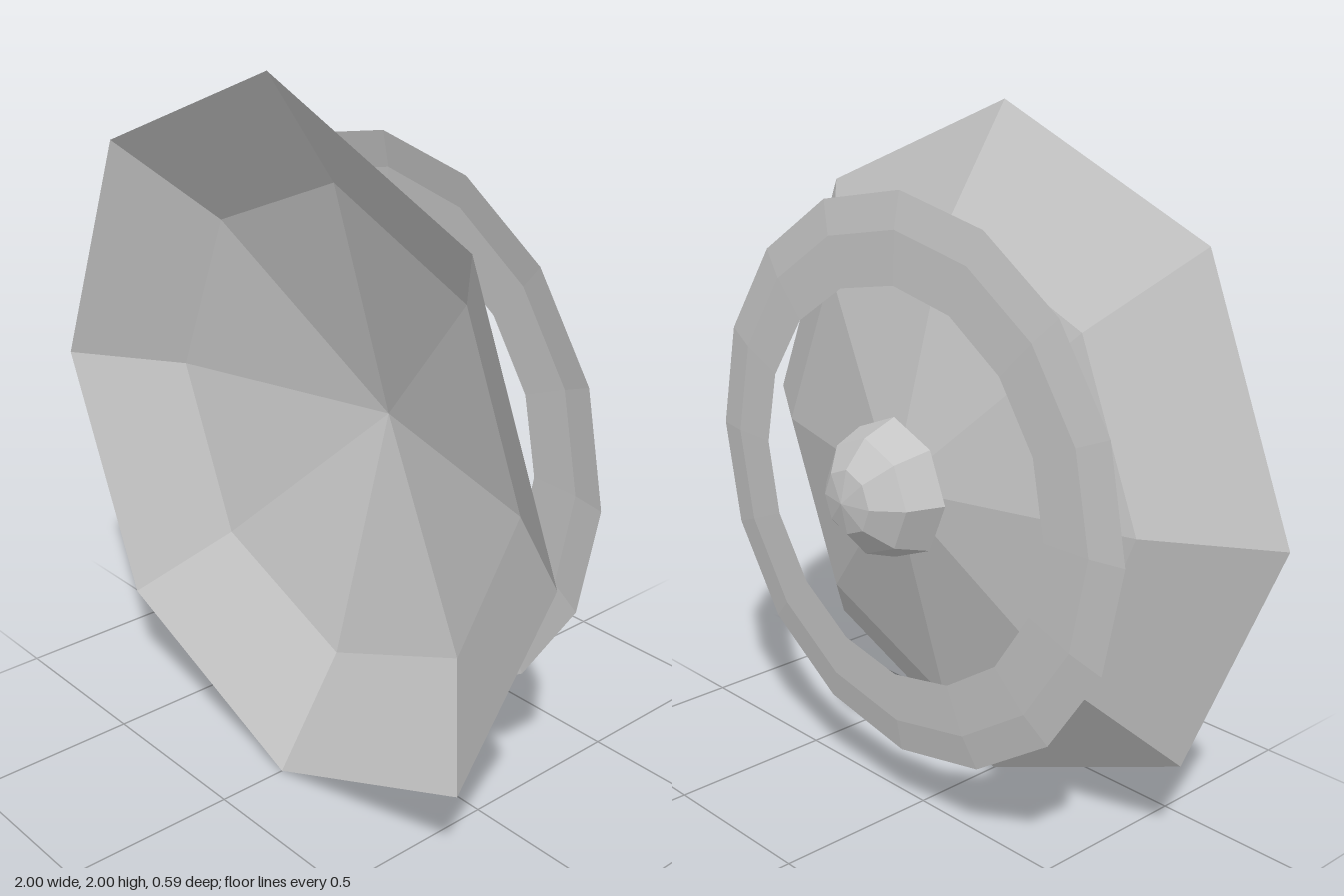
import * as THREE from 'three';

// Open faceted shell turned about the z axis; profile is a list of [radius, z]
function shell(name, profile, sides, material) {
  const points = profile.map(([r, z]) => new THREE.Vector2(r, z));
  const geometry = new THREE.LatheGeometry(points, sides);
  geometry.rotateX(Math.PI / 2);
  geometry.translate(0, 1, 0);
  const mesh = new THREE.Mesh(geometry, material);
  mesh.name = name;
  return mesh;
}

export function createModel() {
  const grey = new THREE.MeshStandardMaterial({
    color: 0xc4c4c4, flatShading: true, side: THREE.DoubleSide,
  });
  grey.name = 'light grey';

  const model = new THREE.Group();
  model.name = 'dish';

  // Eight-sided bowl opening to the front
  model.add(shell('bowl', [[0, -0.11], [0.69, 0.085], [1, 0.293]], 8, grey));

  // Thin floating ring behind the bowl
  model.add(shell('backRing', [[0.555, -0.107], [0.7, -0.102], [0.8, -0.083]], 16, grey));

  // Small faceted dome at the back
  model.add(shell('rearDome',
    [[0, -0.293], [0.09, -0.273], [0.163, -0.208], [0.2, -0.105]], 8, grey));

  return model;
}
